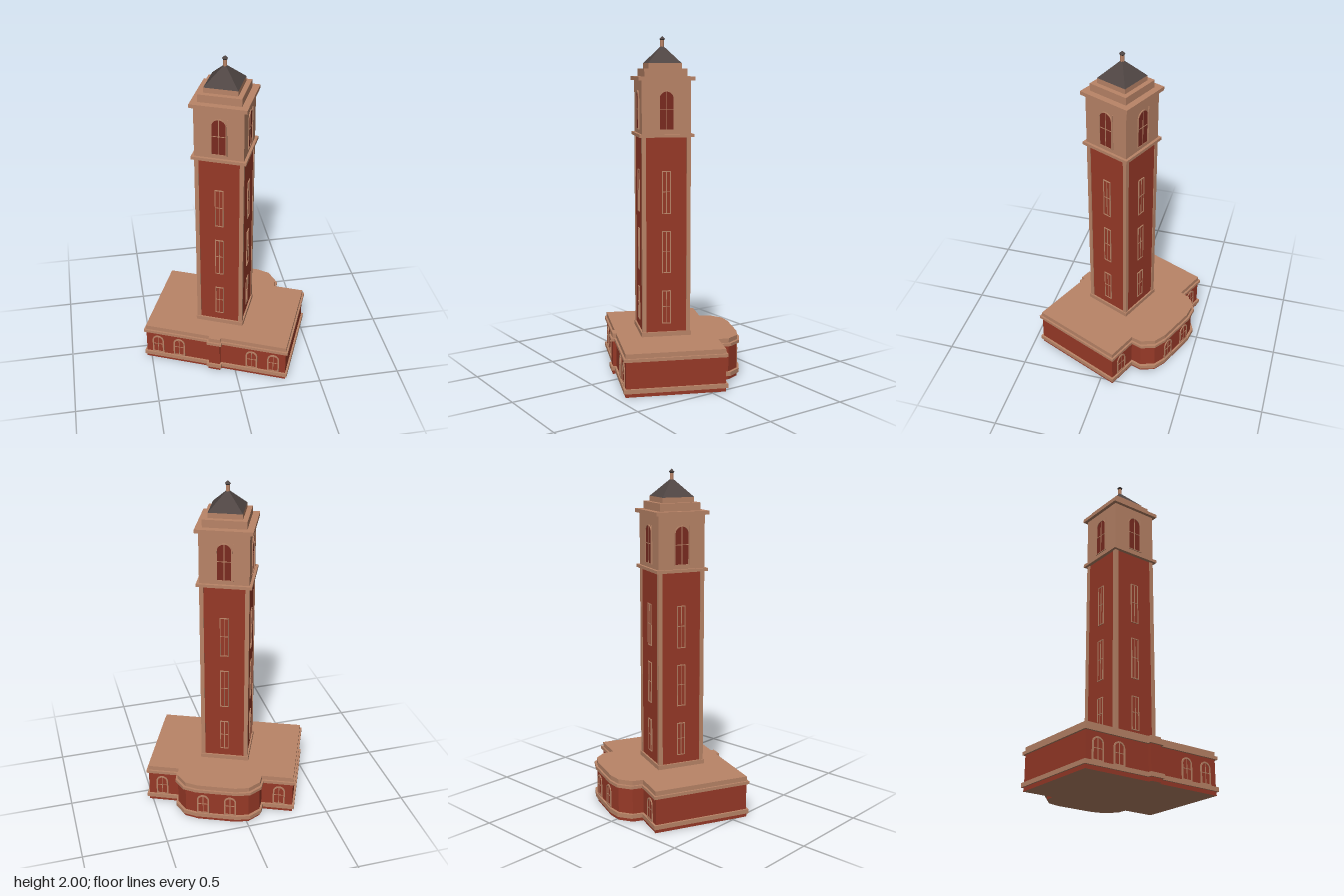
import * as THREE from 'three';

const mat = (color) => new THREE.MeshStandardMaterial({ color, flatShading: true });
const stone = mat(0xb98467), brick = mat(0x973927), glass = mat(0x7a2b20), slate = mat(0x4f4543);

function add(parent, name, geometry, material, x = 0, y = 0, z = 0) {
  const m = new THREE.Mesh(geometry, material);
  m.name = name;
  m.position.set(x, y, z);
  parent.add(m);
  return m;
}

// Square slab of half-width h between heights y0 and y1
function slab(parent, name, h, y0, y1, material) {
  return add(parent, name, new THREE.BoxGeometry(2 * h, y1 - y0, 2 * h), material, 0, (y0 + y1) / 2, 0);
}

// Base plan: rectangle with a front projection and a rounded rear bay, inset by d
function plan(d) {
  const half = [[0.047, 0.319], [0.047, 0.298], [0.457, 0.298], [0.457, -0.298],
    [0.267, -0.298], [0.262, -0.362], [0.203, -0.427], [0.124, -0.446]];
  const right = half.map(([u, v]) => [u - d, v - Math.sign(v) * d]);
  const left = right.map(([u, v]) => [-u, v]).reverse();
  return new THREE.Shape([...right, ...left].map(([u, v]) => new THREE.Vector2(u, -v)));
}

function layer(parent, name, d, y0, y1, side) {
  const g = new THREE.ExtrudeGeometry(plan(d), { depth: y1 - y0, bevelEnabled: false });
  g.rotateX(-Math.PI / 2);
  return add(parent, name, g, [stone, side], 0, y0, 0);
}

// Window outline, with a flat or round head, standing on y = inset
function outline(w, h, arched, inset, PathType) {
  const r = w / 2 - inset, p = new PathType();
  p.moveTo(-r, inset);
  p.lineTo(r, inset);
  if (arched) {
    p.lineTo(r, h - w / 2);
    p.absarc(0, h - w / 2, r, 0, Math.PI, false);
  } else {
    p.lineTo(r, h - inset);
    p.lineTo(-r, h - inset);
  }
  p.closePath();
  return p;
}

// Window facing +z: pane, surround and glazing bars
function makeWindow(w, h, arched, frame, paneMaterial) {
  const g = new THREE.Group();
  g.name = 'window';
  const solid = (shape, depth) => new THREE.ExtrudeGeometry(shape, { depth, bevelEnabled: false, curveSegments: 10 });
  add(g, 'pane', solid(outline(w, h, arched, frame / 2, THREE.Shape), 0.002), paneMaterial);
  const ring = outline(w, h, arched, 0, THREE.Shape);
  ring.holes.push(outline(w, h, arched, frame, THREE.Path));
  add(g, 'surround', solid(ring, 0.005), stone);
  add(g, 'uprightBar', new THREE.BoxGeometry(0.004, h - frame, 0.004), stone, 0, h / 2, 0.002);
  add(g, 'crossBar', new THREE.BoxGeometry(w - frame, 0.004, 0.004), stone, 0, h * 0.52, 0.002);
  return g;
}

function buildBase() {
  const base = new THREE.Group();
  base.name = 'base';
  layer(base, 'plinth', 0.01, 0, 0.023, brick);
  layer(base, 'plinthBand', 0, 0.023, 0.048, stone);
  layer(base, 'baseWall', 0.012, 0.048, 0.205, brick);
  layer(base, 'baseCornice', 0, 0.205, 0.223, stone);
  layer(base, 'parapet', 0.011, 0.223, 0.25, stone);

  const place = (x, z, turn) => {
    const w = makeWindow(0.074, 0.132, true, 0.009, brick);
    w.position.set(x, 0.048, z);
    w.rotation.y = turn;
    base.add(w);
  };
  for (const s of [-1, 1]) {
    place(s * 0.232, 0.286, 0);
    place(s * 0.369, 0.286, 0);
    place(s * 0.362, -0.286, Math.PI);
    place(s * 0.082, -0.434, Math.PI);
  }
  return base;
}

function buildTower() {
  const tower = new THREE.Group();
  tower.name = 'tower';
  slab(tower, 'shaftFoot', 0.148, 0.25, 0.276, stone);
  slab(tower, 'shaft', 0.138, 0.276, 1.425, brick);
  slab(tower, 'beltCourse', 0.159, 1.425, 1.443, stone);
  slab(tower, 'belfry', 0.143, 1.443, 1.748, stone);
  slab(tower, 'topCornice', 0.163, 1.748, 1.77, stone);
  slab(tower, 'lowerStep', 0.125, 1.77, 1.815, stone);
  slab(tower, 'upperStep', 0.097, 1.815, 1.845, stone);

  // Four matching sides
  for (let i = 0; i < 4; i++) {
    const side = new THREE.Group();
    side.name = 'towerSide';
    side.rotation.y = i * Math.PI / 2;
    tower.add(side);
    add(side, 'cornerPilaster', new THREE.BoxGeometry(0.024, 1.149, 0.024), stone, 0.131, 0.8505, 0.131);
    for (const [y, h] of [[0.325, 0.2], [0.63, 0.25], [0.98, 0.25]]) {
      const w = makeWindow(0.052, h, false, 0.005, brick);
      w.position.set(0, y, 0.138);
      side.add(w);
    }
    const arch = makeWindow(0.09, 0.225, true, 0.005, glass);
    arch.position.set(0, 1.465, 0.143);
    side.add(arch);
    add(side, 'belfryStrip', new THREE.BoxGeometry(0.004, 0.225, 0.008), stone, 0.05, 1.5775, 0.146);
  }

  // Pyramid roof and finial
  const roof = new THREE.ConeGeometry(0.097 * Math.SQRT2, 0.105, 4);
  roof.rotateY(Math.PI / 4);
  add(tower, 'roof', roof, slate, 0, 1.8975, 0);
  add(tower, 'finialStem', new THREE.CylinderGeometry(0.011, 0.011, 0.05, 8), stone, 0, 1.955, 0);
  add(tower, 'finialCollar', new THREE.CylinderGeometry(0.017, 0.011, 0.008, 8), slate, 0, 1.98, 0);
  add(tower, 'finialTip', new THREE.ConeGeometry(0.017, 0.016, 8), slate, 0, 1.992, 0);
  return tower;
}

export function createModel() {
  const model = new THREE.Group();
  model.name = 'bellTower';
  const body = new THREE.Group();
  body.name = 'building';
  body.rotation.y = -0.412;
  body.position.set(-0.009, 0, 0.002);
  const base = buildBase();
  base.position.x = 0.006;
  body.add(base, buildTower());
  model.add(body);
  return model;
}
